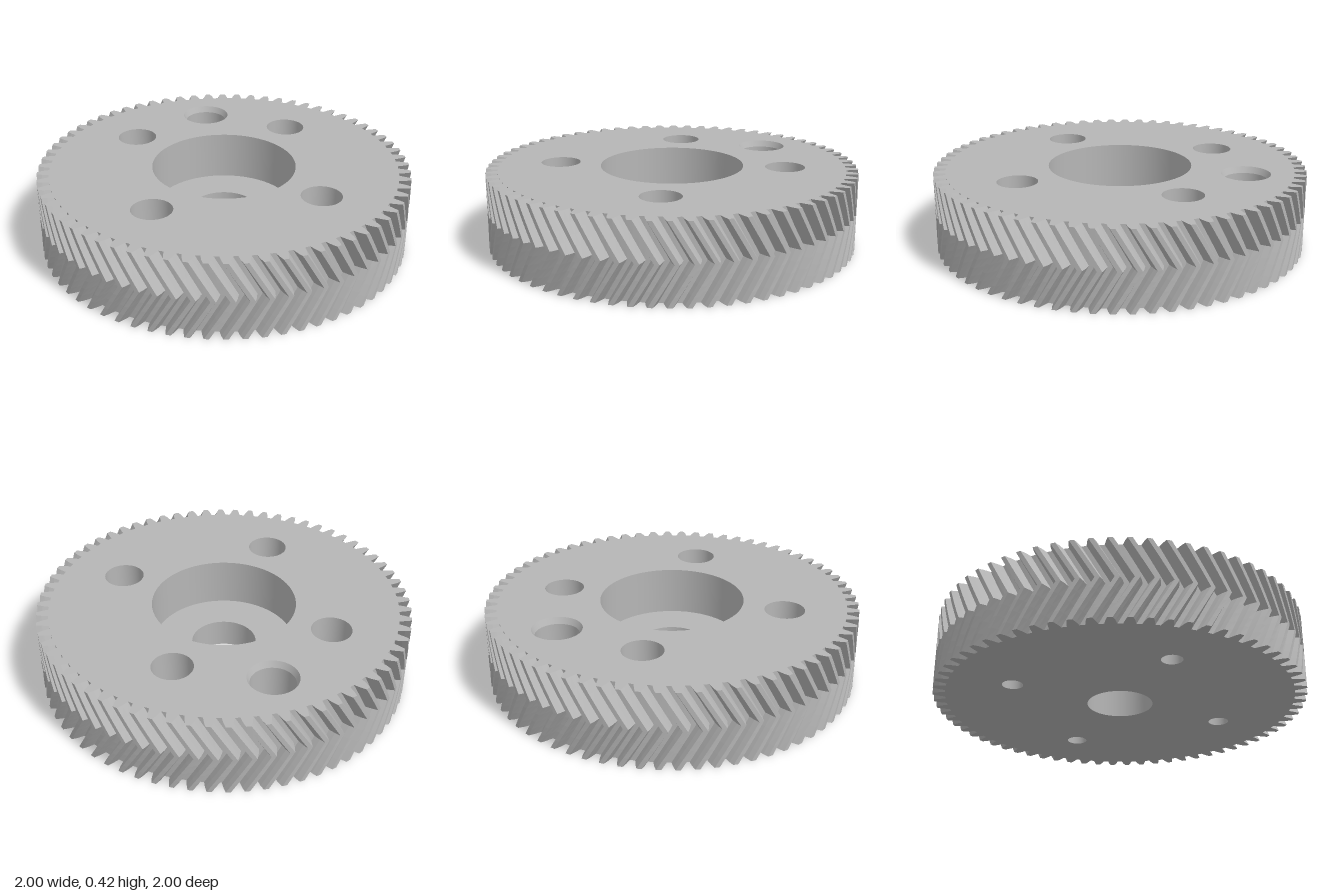
import * as THREE from 'three';

const H = 0.42, TEETH = 68, TWIST = 0.125, STEPS = 8, SEG = 64;

// Outline of the toothed rim as [angle, radius], one tooth centred on +x
function rimOutline() {
  const pts = [];
  const flank = [[-0.0323, 0.936], [-0.0231, 0.971], [-0.0125, 1], [0.0125, 1], [0.0231, 0.971], [0.0323, 0.936]];
  for (let t = 0; t < TEETH; t++) {
    for (const [a, r] of flank) pts.push([a + t * 2 * Math.PI / TEETH, r]);
  }
  return pts;
}

// Herringbone teeth: the outline twists one way up to mid height, then back
function teethGeometry(outline) {
  const pos = [], n = outline.length;
  const at = (i, k) => {
    const [a, r] = outline[i % n];
    const t = k / STEPS, ang = a + TWIST * (1 - Math.abs(2 * t - 1));
    return [r * Math.cos(ang), H * t, -r * Math.sin(ang)];
  };
  for (let k = 0; k < STEPS; k++) {
    for (let i = 0; i < n; i++) {
      const a = at(i, k), b = at(i + 1, k), c = at(i + 1, k + 1), d = at(i, k + 1);
      pos.push(...a, ...b, ...c, ...a, ...c, ...d);
    }
  }
  const g = new THREE.BufferGeometry();
  g.setAttribute('position', new THREE.Float32BufferAttribute(pos, 3));
  g.computeVertexNormals();
  return g;
}

// Flat end face with round holes [x, z, radius]; side is +1 for top, -1 for bottom
function faceGeometry(outline, holes, side) {
  const shape = new THREE.Shape(outline.map(([a, r]) => new THREE.Vector2(r * Math.cos(a), r * Math.sin(a))));
  for (const [x, z, r] of holes) {
    const ring = [];
    for (let i = 0; i < SEG; i++) {
      const a = i / SEG * 2 * Math.PI;
      ring.push(new THREE.Vector2(x + r * Math.cos(a), -side * z + r * Math.sin(a)));
    }
    shape.holes.push(new THREE.Path(ring));
  }
  const g = new THREE.ShapeGeometry(shape);
  g.rotateX(-side * Math.PI / 2);
  if (side > 0) g.translate(0, H, 0);
  return g;
}

export function createModel() {
  const model = new THREE.Group();
  model.name = 'herringboneGear';
  const steel = new THREE.MeshStandardMaterial({ color: 0xb6b6b6 });
  steel.name = 'steelGrey';

  const add = (name, geometry, parent = model) => {
    const mesh = new THREE.Mesh(geometry, steel);
    mesh.name = name;
    parent.add(mesh);
    return mesh;
  };

  // Inner surface of a hole, profile [radius, y] listed from the top down
  const addHole = (name, x, z, profile) => {
    const group = new THREE.Group();
    group.name = name;
    group.position.set(x, 0, z);
    for (let i = 0; i + 1 < profile.length; i++) {
      const pair = [profile[i], profile[i + 1]].map(([r, y]) => new THREE.Vector2(r, y));
      add(name + 'Wall' + i, new THREE.LatheGeometry(pair, SEG), group);
    }
    model.add(group);
  };

  const bolts = [[-0.12, -0.6], [0.6, -0.12], [0.12, 0.6], [-0.6, 0.12]];
  const outline = rimOutline();

  // Gear body
  add('herringboneTeeth', teethGeometry(outline));
  add('topFace', faceGeometry(outline,
    [[0, 0, 0.387], [0.38, -0.57, 0.131], ...bolts.map(([x, z]) => [x, z, 0.107])], 1));
  add('bottomFace', faceGeometry(outline,
    [[0, 0, 0.176], ...bolts.map(([x, z]) => [x, z, 0.055])], -1));

  // Stepped centre bore, counterbored bolt holes and chamfered blind hole
  addHole('centreBore', 0, 0, [[0.387, H], [0.387, 0.157], [0.176, 0.157], [0.176, 0]]);
  bolts.forEach(([x, z], i) =>
    addHole('boltHole' + (i + 1), x, z, [[0.107, H], [0.107, 0.21], [0.055, 0.21], [0.055, 0]]));
  addHole('blindHole', 0.38, -0.57, [[0.131, H], [0.115, H - 0.033], [0.115, 0.21], [0, 0.21]]);

  return model;
}
